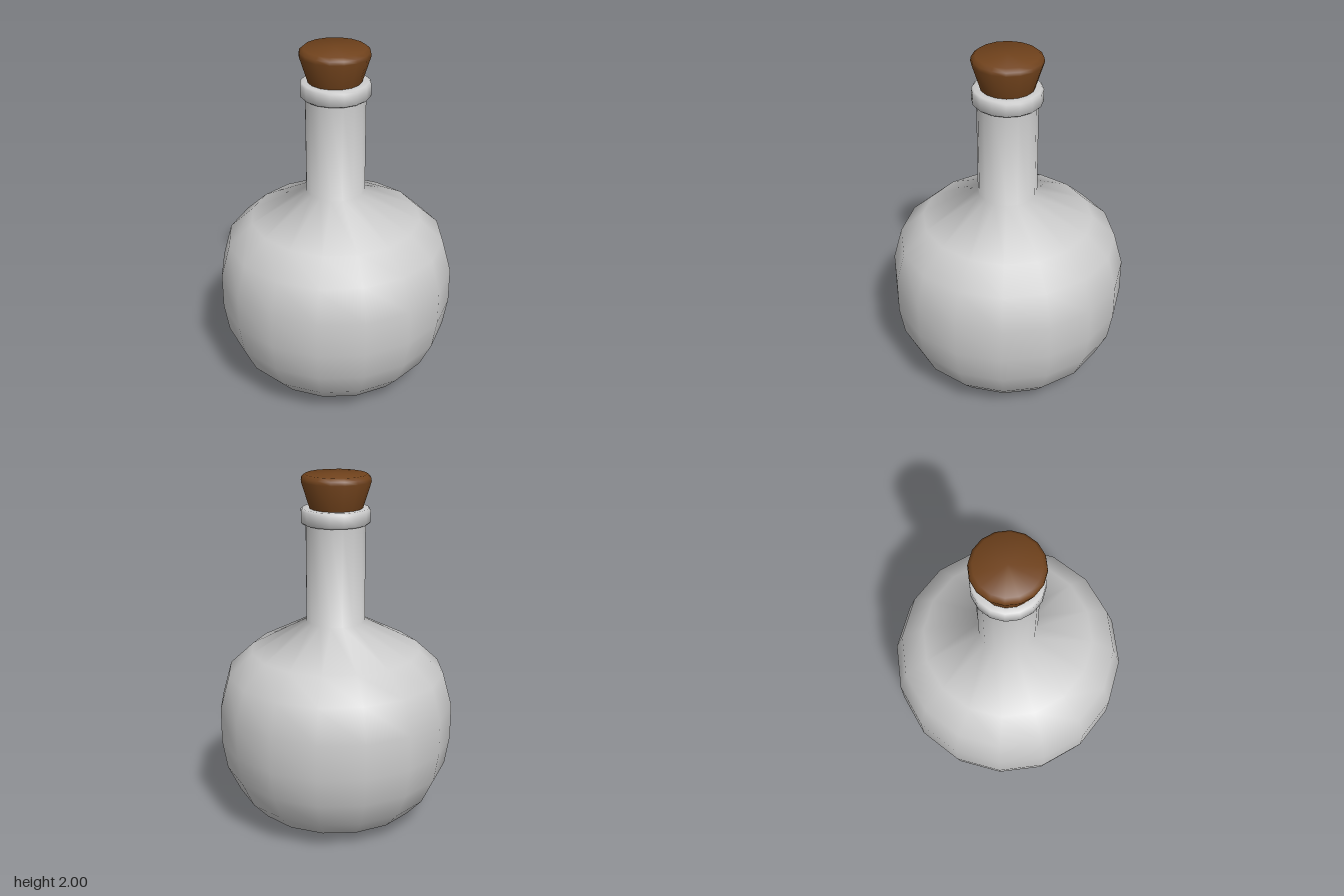
import * as THREE from 'three';
import { toCreasedNormals } from 'three/addons/utils/BufferGeometryUtils.js';

const SIDES = 16;

// Revolve a list of [radius, height] pairs, listed from the bottom up
function turned(name, profile, material, crease) {
  let geometry = new THREE.LatheGeometry(profile.map(([r, y]) => new THREE.Vector2(r, y)), SIDES);
  if (crease) geometry = toCreasedNormals(geometry, crease);
  const mesh = new THREE.Mesh(geometry, material);
  mesh.name = name;
  return mesh;
}

export function createModel() {
  const glass = new THREE.MeshStandardMaterial({ color: 0xcccccc, side: THREE.DoubleSide });
  const corkBrown = new THREE.MeshStandardMaterial({ color: 0x70421c });
  const bottle = new THREE.Group();
  bottle.name = 'corkedBottle';

  // Round flask with a flat base, sloping shoulder and straight neck
  bottle.add(turned('flask', [
    [0, 0], [0.285, 0], [0.48, 0.085], [0.57, 0.185], [0.64, 0.335], [0.667, 0.5],
    [0.667, 0.7], [0.615, 0.89], [0.48, 1.015], [0.166, 1.18], [0.166, 1.76],
  ], glass));

  // Collar around the mouth, with small bevels and an open centre
  bottle.add(turned('collar', [
    [0.14, 1.73], [0.182, 1.73], [0.192, 1.74], [0.192, 1.805], [0.182, 1.815],
    [0.14, 1.815], [0.14, 1.73],
  ], glass, 0.9));

  // Tapered stopper with a bevelled top, its lower end inside the neck
  const cork = turned('cork', [
    [0, 1.7], [0.115, 1.7], [0.147, 1.815], [0.193, 1.96], [0.19, 1.98], [0.17, 1.997], [0, 2],
  ], corkBrown, 0.9);
  cork.position.x = -0.003;
  bottle.add(cork);

  return bottle;
}
